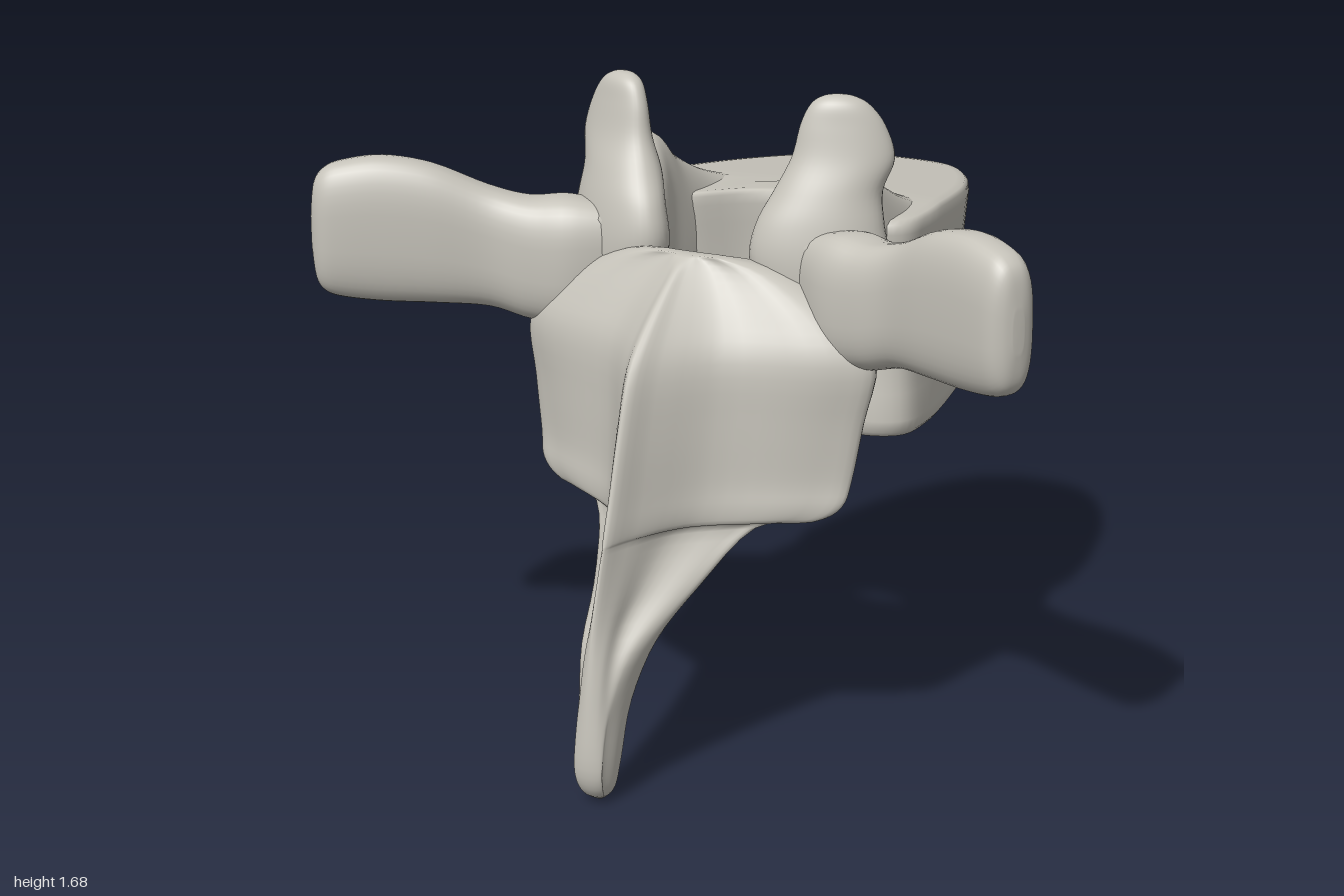
import * as THREE from 'three';

const bone = new THREE.MeshStandardMaterial({ color: 0xc6c3ba });
bone.name = 'bone';

const lerp = THREE.MathUtils.lerp;
const V = (x, y, z) => new THREE.Vector3(x, y, z);

// Smoothly subdivides a table of section rows (Catmull-Rom per column)
function refine(rows, n) {
  const out = [];
  const at = i => rows[Math.max(0, Math.min(rows.length - 1, i))];
  for (let i = 0; i < rows.length - 1; i++) {
    for (let k = 0; k < n; k++) {
      const t = k / n;
      out.push(rows[i].map((p, c) => {
        const a = at(i - 1)[c], q = at(i + 1)[c], d = at(i + 2)[c];
        return 0.5 * (2 * p + (q - a) * t + (2 * a - 5 * p + 4 * q - d) * t * t + (3 * p - a - 3 * q + d) * t * t * t);
      }));
    }
  }
  out.push(rows[rows.length - 1]);
  return out;
}

// Skins closed rings of equal length, caps both ends, and faces everything outward
function skin(rings) {
  const n = rings[0].length, last = (rings.length - 1) * n;
  const pts = rings.flat();
  const centre = ring => ring.reduce((s, p) => s.add(p), V(0, 0, 0)).divideScalar(n);
  const c0 = pts.push(centre(rings[0])) - 1;
  const c1 = pts.push(centre(rings[rings.length - 1])) - 1;
  const idx = [];
  for (let j = 0; j < n; j++) {
    const k = (j + 1) % n;
    for (let r = 0; r < last; r += n) idx.push(r + j, r + k, r + n + j, r + k, r + n + k, r + n + j);
    idx.push(c0, k, j, c1, last + j, last + k);
  }
  let volume = 0;
  const cross = V(0, 0, 0);
  for (let i = 0; i < idx.length; i += 3) {
    volume += pts[idx[i]].dot(cross.crossVectors(pts[idx[i + 1]], pts[idx[i + 2]]));
  }
  if (volume < 0) idx.reverse();
  const g = new THREE.BufferGeometry().setFromPoints(pts);
  g.setIndex(idx);
  g.computeVertexNormals();
  return g;
}

// Rounded-box style ring spanned by two half-axis vectors
function oval(c, u, v, power = 2.4, n = 40) {
  const bend = s => Math.sign(s) * Math.abs(s) ** (2 / power);
  return Array.from({ length: n }, (_, i) => {
    const a = i / n * Math.PI * 2;
    return c.clone().addScaledVector(u, bend(Math.cos(a))).addScaledVector(v, bend(Math.sin(a)));
  });
}

// Full horizontal outline from its +x half, given as [x, z] from centre line to centre line
function outline(half, n) {
  const mirrored = half.slice(1, -1).reverse().map(([x, z]) => [-x, z]);
  const curve = new THREE.CatmullRomCurve3([...half, ...mirrored].map(([x, z]) => V(x, 0, z)), true, 'centripetal');
  return Array.from({ length: n }, (_, i) => curve.getPoint(i / n));
}

export function createModel() {
  const model = new THREE.Group();
  model.name = 'vertebra';
  const add = (name, rings) => {
    const mesh = new THREE.Mesh(skin(rings), bone);
    mesh.name = name;
    model.add(mesh);
  };
  const addPair = (name, rings) => {
    add('left' + name, rings);
    add('right' + name, rings.map(r => r.map(p => V(-p.x, p.y, p.z))));
  };

  // Body: waisted drum with a hollow back wall and a top that slopes down at the far end
  const bodyOutline = outline([[0, -0.888], [0.14, -0.86], [0.25, -0.74], [0.34, -0.55], [0.395, -0.35], [0.435, -0.12],
    [0.425, 0], [0.34, 0.048], [0.22, 0.02], [0.1, -0.09], [0, -0.13]], 88);
  const bodyLevels = [[0.762, 0.5], [0.762, 0.9], [0.766, 0.965], [0.78, 0.993], [0.81, 1], [0.88, 0.985], [0.97, 0.962],
    [1.07, 0.953], [1.17, 0.96], [1.25, 0.98], [1.3, 0.992], [1.325, 0.985], [1.335, 0.96], [1.338, 0.9], [1.335, 0.5]];
  add('body', bodyLevels.map(([y, s]) => bodyOutline.map(p => {
    const z = -0.42 + (p.z + 0.42) * s;
    const rise = (y - 0.762) / 0.576;
    const tilt = rise * 0.09 * Math.min(0, z + 0.22) + (1 - rise) * 0.25 * Math.max(0, -0.78 - z);
    return V(p.x * s, y + tilt, z);
  })));

  // Pedicles: bridges from the body to the arch; rows are z, x, y, half width, half height
  addPair('Pedicle', refine([
    [-0.4, 0.24, 1.2, 0.08, 0.1], [-0.25, 0.27, 1.2, 0.12, 0.135], [-0.12, 0.285, 1.2, 0.115, 0.18],
    [0, 0.29, 1.23, 0.1, 0.215], [0.08, 0.285, 1.3, 0.085, 0.21], [0.16, 0.28, 1.29, 0.09, 0.19],
    [0.3, 0.3, 1.22, 0.07, 0.1],
  ], 5).map(([z, x, y, w, h]) => oval(V(x, y, z), V(w, 0, 0), V(0, h, 0))));

  // Upper joint processes: oblique upright plates; rows are y, x, z, half width, half thickness
  addPair('UpperJointProcess', refine([
    [1.15, 0.29, 0.21, 0.13, 0.09], [1.27, 0.285, 0.21, 0.155, 0.09], [1.36, 0.285, 0.205, 0.142, 0.08],
    [1.44, 0.295, 0.18, 0.12, 0.075], [1.52, 0.322, 0.155, 0.114, 0.058], [1.6, 0.318, 0.15, 0.094, 0.045],
    [1.65, 0.31, 0.15, 0.066, 0.036], [1.671, 0.305, 0.15, 0.035, 0.02], [1.676, 0.303, 0.15, 0.006, 0.004],
  ], 5).map(([y, x, z, a, b]) => oval(V(x, y, z), V(a, 0, -0.5 * a), V(0.47 * b, 0, 0.88 * b), 2.1)));

  // Side processes: swept-back arms with flared tips; rows are x, y, z, half height, half thickness
  addPair('SideProcess', refine([
    [0.28, 1.22, 0.22, 0.12, 0.07], [0.4, 1.2, 0.265, 0.165, 0.105], [0.5, 1.2, 0.305, 0.16, 0.095],
    [0.6, 1.227, 0.345, 0.158, 0.082], [0.72, 1.262, 0.42, 0.182, 0.078], [0.83, 1.275, 0.482, 0.19, 0.078],
    [0.92, 1.275, 0.535, 0.178, 0.073], [0.96, 1.273, 0.56, 0.16, 0.062], [0.98, 1.272, 0.572, 0.125, 0.04],
    [0.988, 1.27, 0.577, 0.05, 0.015],
  ], 5).map(([x, y, z, h, t]) => oval(V(x, y, z), V(-0.5 * t, 0, 0.86 * t), V(0, h, 0), 2.8)));

  // Arch plate with lower joint processes and the long spine, as horizontal slices;
  // rows are y, half width, outer edge z, outer half thickness, inner z, rear ridge z
  add('archAndSpine', refine([
    [1.285, 0.1, 0.36, 0.015, 0.345, 0.385], [1.25, 0.24, 0.31, 0.05, 0.325, 0.44], [1.15, 0.42, 0.285, 0.085, 0.32, 0.565],
    [1.05, 0.495, 0.31, 0.08, 0.34, 0.655], [0.9, 0.472, 0.33, 0.065, 0.37, 0.71], [0.76, 0.45, 0.345, 0.055, 0.4, 0.752],
    [0.69, 0.432, 0.365, 0.05, 0.42, 0.775], [0.65, 0.37, 0.39, 0.045, 0.43, 0.788], [0.625, 0.23, 0.44, 0.035, 0.44, 0.797],
    [0.5, 0.145, 0.58, 0.05, 0.525, 0.835], [0.38, 0.088, 0.72, 0.06, 0.63, 0.86], [0.24, 0.055, 0.79, 0.05, 0.722, 0.88],
    [0.1, 0.046, 0.825, 0.045, 0.765, 0.892], [0.03, 0.036, 0.825, 0.028, 0.785, 0.872], [0, 0.01, 0.815, 0.008, 0.803, 0.83],
  ], 4).map(([y, w, zo, t, zi, zb]) => outline([
    [0, zb],
    [Math.max(0.1 * w, Math.min(0.026, 0.6 * w)), lerp(zo + t, zb, 0.76)],
    [Math.max(0.33 * w, Math.min(0.04, 0.88 * w)), lerp(zo + t, zb, 0.34)],
    [0.82 * w, zo + t],
    [w, zo],
    [0.82 * w, zo - t],
    [0.42 * w, lerp(zo - t, zi, 0.65)],
    [0, zi],
  ], 70).map(p => V(p.x, y, p.z))));

  return model;
}
